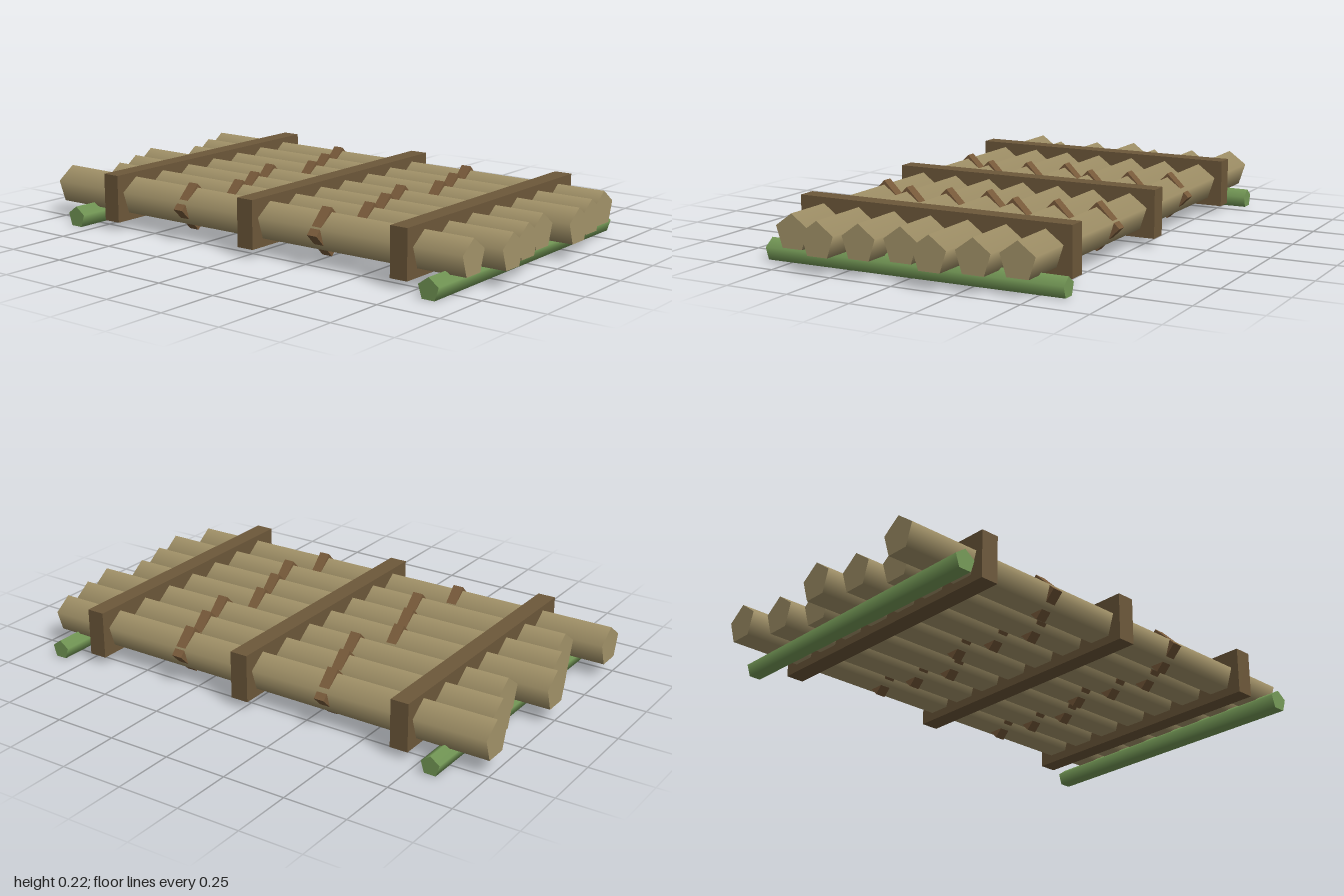
import * as THREE from 'three';

const mat = (name, color) => {
  const m = new THREE.MeshStandardMaterial({ color });
  m.name = name;
  return m;
};

export function createModel() {
  const raft = new THREE.Group();
  raft.name = 'raft';
  const logWood = mat('log wood', 0xa39369);
  const barWood = mat('crossbar wood', 0x6d583a);
  const rope = mat('rope brown', 0x785a3a);
  const bamboo = mat('green bamboo', 0x759a57);

  const add = (name, geometry, material, x, y, z) => {
    const mesh = new THREE.Mesh(geometry, material);
    mesh.name = name;
    mesh.position.set(x, y, z);
    raft.add(mesh);
    return mesh;
  };

  // Deck logs: tapered five-sided poles, staggered in a cycle of three
  const LOG_Y = 0.125;
  const stagger = [
    { left: -1.0, right: 0.936, ties: [-0.333, 0.314] },
    { left: -0.941, right: 0.967, ties: [-0.285, 0.354] },
    { left: -0.882, right: 0.998, ties: [-0.235, 0.391] },
  ];
  for (let i = 0; i < 7; i++) {
    const z = (i - 3) * 0.1517;
    const { left, right, ties } = stagger[i % 3];
    const log = new THREE.CylinderGeometry(0.0768, 0.0715, right - left, 5, 1, false, Math.PI / 2);
    log.rotateZ(Math.PI / 2); // thick end at -x, one ridge up
    add('deckLog', log, logWood, (left + right) / 2, LOG_Y, z);

    // Lashings: square collars standing on a corner
    for (const x of ties) {
      const tie = add('lashing', new THREE.BoxGeometry(0.043, 0.128, 0.128), rope, x, LOG_Y, z);
      tie.rotation.x = Math.PI / 4;
    }
  }

  // Crossbars clamping the deck
  for (const x of [-0.675, 0.012, 0.7]) {
    add('crossbar', new THREE.BoxGeometry(0.072, 0.187, 1.115), barWood, x, 0.1265, 0);
  }

  // Bamboo runners underneath, thicker at the front
  for (const x of [-0.828, 0.854]) {
    const pole = new THREE.CylinderGeometry(0.044, 0.039, 1.206, 5, 1, false, Math.PI);
    pole.rotateX(Math.PI / 2);
    add('runner', pole, bamboo, x, 0.0356, 0);
  }

  return raft;
}
